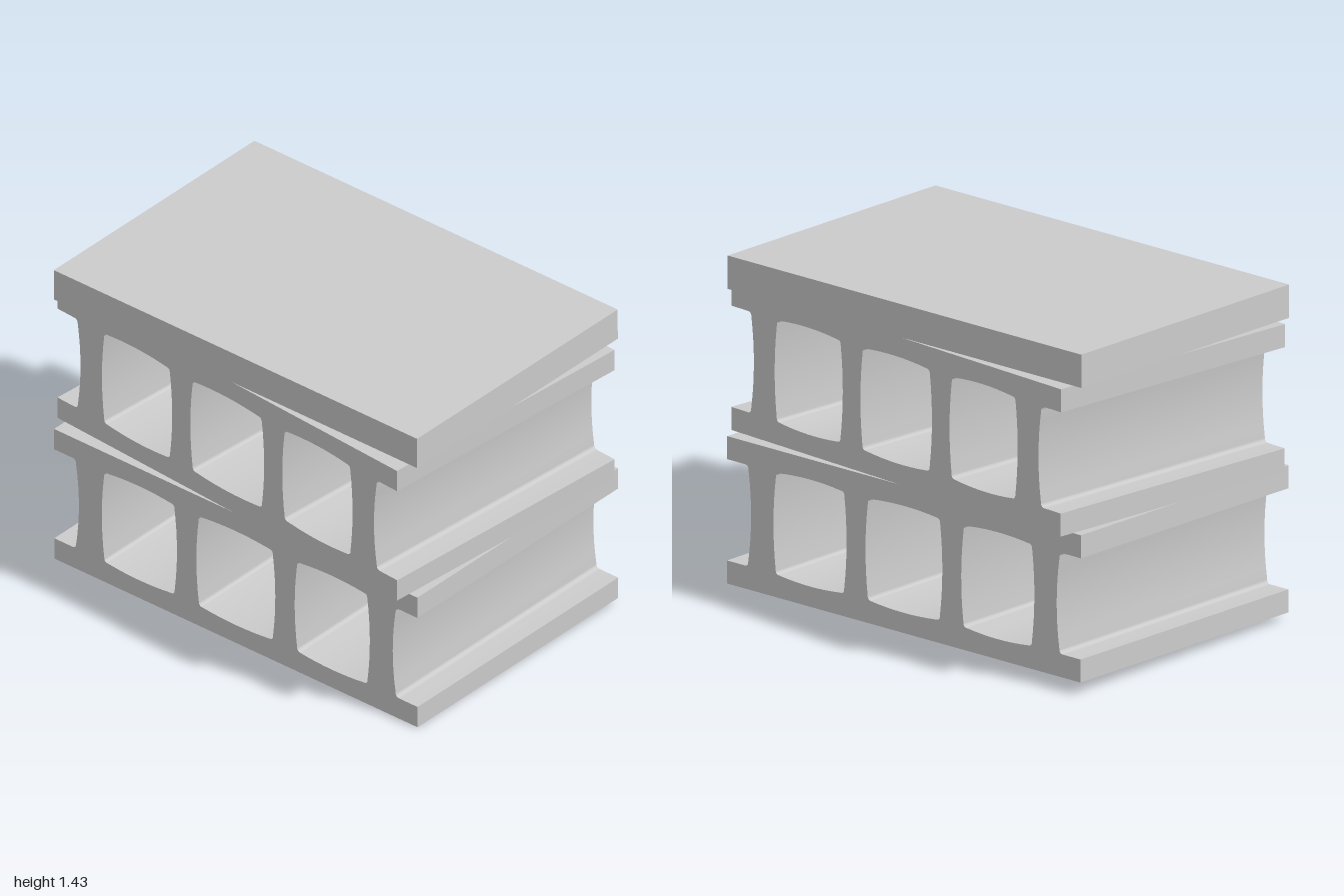
import * as THREE from 'three';
import { toCreasedNormals } from 'three/addons/utils/BufferGeometryUtils.js';

const WIDTH = 1.24, DEPTH = 1.91, BLOCK_H = 0.62, SLAB_H = 0.14;
const PLATE = 0.097; // thickness of a block's top and bottom plates

// Hollow with bulging sides and eased corners
function hollow(centre, half) {
  const y0 = 0.095, y1 = 0.525, mid = (y0 + y1) / 2, r = 0.02;
  const a = centre - half, b = centre + half;
  const p = new THREE.Path();
  p.moveTo(a + r, y0);
  p.quadraticCurveTo(centre, y0 - 0.02, b - r, y0);
  p.quadraticCurveTo(b, y0, b, y0 + r);
  p.quadraticCurveTo(b + 0.025, mid, b, y1 - r);
  p.quadraticCurveTo(b, y1, b - r, y1);
  p.quadraticCurveTo(centre, y1 + 0.02, a + r, y1);
  p.quadraticCurveTo(a, y1, a, y1 - r);
  p.quadraticCurveTo(a - 0.025, mid, a, y0 + r);
  p.quadraticCurveTo(a, y0, a + r, y0);
  return p;
}

// Block section: two plates joined by slightly waisted end walls
function blockGeometry() {
  const d = DEPTH / 2, wall = 0.84, r = 0.02, top = BLOCK_H - PLATE;
  const s = new THREE.Shape();
  s.moveTo(-d, 0);
  s.lineTo(d, 0);
  s.lineTo(d, PLATE);
  s.lineTo(wall + r, PLATE);
  s.quadraticCurveTo(wall, PLATE, wall, PLATE + r);
  s.quadraticCurveTo(wall - 0.03, BLOCK_H / 2, wall, top - r);
  s.quadraticCurveTo(wall, top, wall + r, top);
  s.lineTo(d, top);
  s.lineTo(d, BLOCK_H);
  s.lineTo(-d, BLOCK_H);
  s.lineTo(-d, top);
  s.lineTo(-wall - r, top);
  s.quadraticCurveTo(-wall, top, -wall, top - r);
  s.quadraticCurveTo(-wall + 0.03, BLOCK_H / 2, -wall, PLATE + r);
  s.quadraticCurveTo(-wall, PLATE, -wall - r, PLATE);
  s.lineTo(-d, PLATE);
  s.closePath();
  s.holes.push(hollow(-0.507, 0.185), hollow(0, 0.195), hollow(0.507, 0.185));

  const g = new THREE.ExtrudeGeometry(s, { depth: WIDTH, bevelEnabled: false, curveSegments: 8 });
  g.translate(0, 0, -WIDTH / 2);
  g.rotateY(-Math.PI / 2); // hollows run from side to side
  return toCreasedNormals(g, 0.4);
}

export function createModel() {
  const material = new THREE.MeshStandardMaterial({ color: 0xcccccc });
  const stack = new THREE.Group();
  stack.name = 'blockStack';

  const add = (name, geometry, y, yaw = 0) => {
    const mesh = new THREE.Mesh(geometry, material);
    mesh.name = name;
    mesh.position.y = y;
    mesh.rotation.y = yaw;
    stack.add(mesh);
  };

  // Two hollow blocks, the upper one twisted, under a plain slab
  const block = blockGeometry();
  add('lowerBlock', block, 0);
  add('upperBlock', block, BLOCK_H, -0.073);
  add('topSlab', new THREE.BoxGeometry(WIDTH, SLAB_H, DEPTH), 2 * BLOCK_H + SLAB_H / 2);

  // The whole stack leans slightly
  stack.rotation.set(0.015, 0, 0.02);
  stack.position.set(0.0145, 0.0268, -0.0105);

  const model = new THREE.Group();
  model.name = 'model';
  model.add(stack);
  return model;
}
